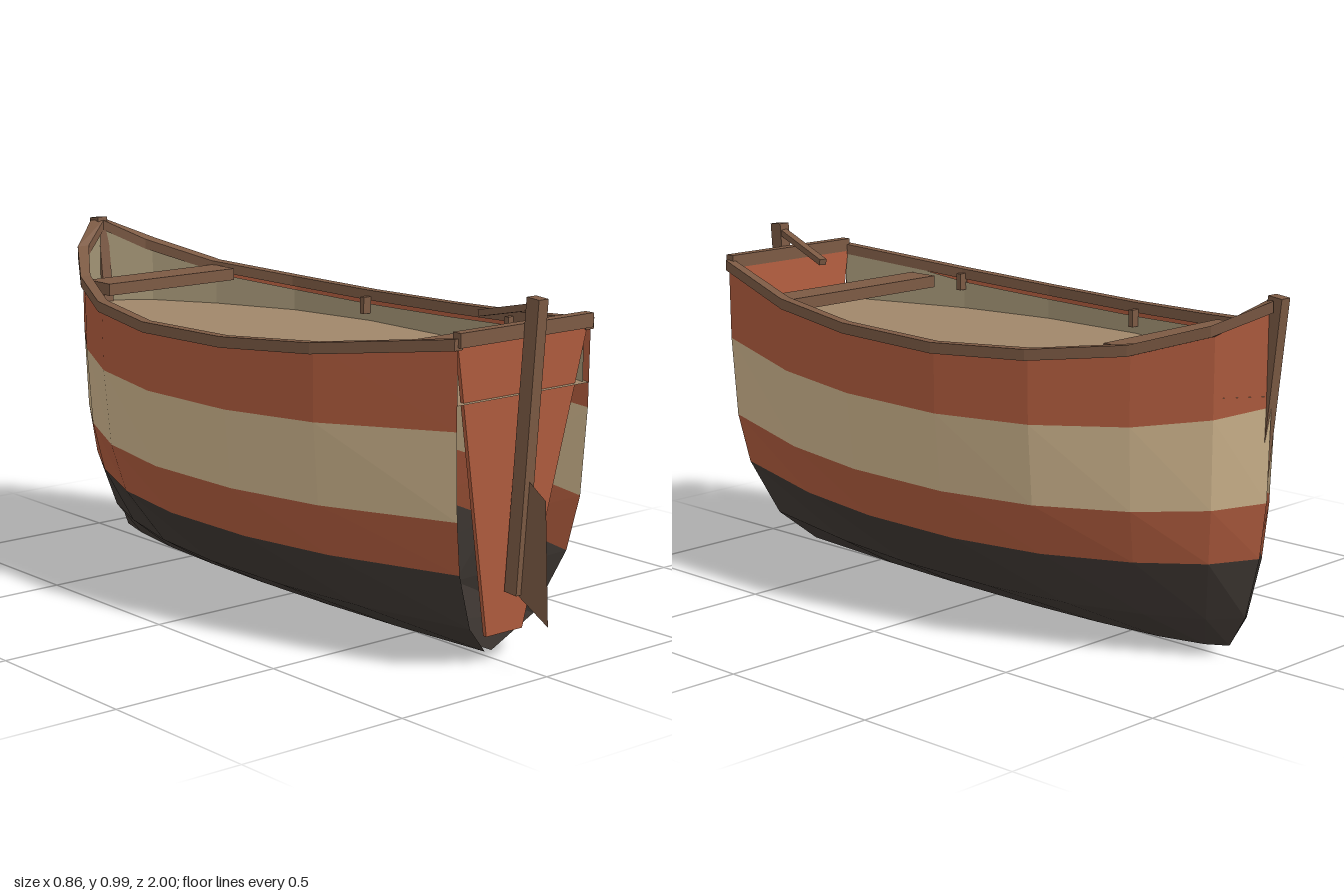
import * as THREE from 'three';

const mat = (name, color, side = THREE.DoubleSide) =>
  new THREE.MeshStandardMaterial({ name, color, side, flatShading: true });

// Stations from stern to bow: z, half width at the sheer, sheer height, rail spread
const stations = [
  [0.90, 0.235, 0.90, 1.0], [0.50, 0.367, 0.85, 1.1], [0.19, 0.418, 0.828, 1],
  [-0.155, 0.418, 0.82, 1], [-0.445, 0.362, 0.833, 1.1], [-0.695, 0.247, 0.862, 1.2],
  [-0.875, 0.130, 0.92, 1.4], [-0.965, 0.006, 0.98, 1.7],
];
// Plank lines from sheer to keel: width ratio, rake ratio, midship height, share of the sheer rise
const lines = [
  [1, 1, 0.815, 1], [0.995, 0.998, 0.625, 0.48], [0.94, 0.99, 0.407, 0.25],
  [0.82, 0.97, 0.265, 0.18], [0.49, 0.925, 0.1, 0.15], [0.05, 0.87, 0.003, 0.2],
];
const FLOOR = 0.73;

// Skins a run of cross-sections that all have the same number of points
function loft(sections) {
  const pos = [];
  for (let i = 0; i < sections.length - 1; i++) {
    for (let j = 0; j < sections[i].length - 1; j++) {
      const a = sections[i][j], b = sections[i][j + 1];
      const c = sections[i + 1][j + 1], d = sections[i + 1][j];
      pos.push(...a, ...b, ...c, ...a, ...c, ...d);
    }
  }
  const g = new THREE.BufferGeometry();
  g.setAttribute('position', new THREE.Float32BufferAttribute(pos, 3));
  g.computeVertexNormals();
  return g;
}

// Both sides of a loft, the -x one with its order reversed
function bothSides(parent, name, sections, material) {
  for (const s of [1, -1]) {
    const secs = sections.map(sec => sec.map(([x, y, z]) => [x * s, y, z]));
    if (s < 0) secs.reverse();
    const m = new THREE.Mesh(loft(secs), material);
    m.name = (s > 0 ? 'left' : 'right') + name;
    parent.add(m);
  }
}

function box(parent, name, size, at, material) {
  const m = new THREE.Mesh(new THREE.BoxGeometry(...size), material);
  m.position.set(...at);
  m.name = name;
  parent.add(m);
  return m;
}

// Square timber running from point a to point b
function beam(parent, name, a, b, width, depth, material) {
  const p = new THREE.Vector3(...a), q = new THREE.Vector3(...b);
  const mid = p.clone().add(q).multiplyScalar(0.5);
  const m = box(parent, name, [width, depth, p.distanceTo(q)], mid.toArray(), material);
  m.lookAt(q);
  return m;
}

export function createModel() {
  const boat = new THREE.Group();
  boat.name = 'rowingBoat';
  const red = mat('redPaint', 0xb05c3e);
  const cream = mat('creamPaint', 0xd0b68e);
  const dark = mat('darkBottom', 0x403934);
  const wood = mat('brownWood', 0x7c5a44);
  const deck = mat('floorBoards', 0xa0876a);
  const inner = mat('innerLining', 0xa59677);

  // Hull planking in colour bands
  const band = (from, to) => stations.map(([z, w, s]) =>
    lines.slice(from, to + 1).map(([kx, kz, y, rise]) => [w * kx, y + rise * (s - 0.82), z * kz]));
  bothSides(boat, 'UpperStrake', band(0, 1), red);
  bothSides(boat, 'CreamStrake', band(1, 2), cream);
  bothSides(boat, 'LowerStrake', band(2, 3), red);
  bothSides(boat, 'Bottom', band(3, 5), dark);

  // Inner lining between floor and rail
  bothSides(boat, 'Lining', stations.map(([z, w, s], i) => {
    const drop = i === 0 || i > 5 ? 0.012 : 0.04;
    return [[w * 0.955, s - drop, z * 0.985], [w * 0.955, FLOOR, z * 0.985]];
  }), inner);

  // Gunwale rails, closed at both ends
  const rail = stations.map(([z, w, s, k]) => {
    const o = w + 0.012 * k, n = Math.max(0, w - 0.017 * k);
    const zo = z < -0.9 ? z - 0.012 : z, zi = z < -0.9 ? z + 0.018 : z;
    return [[o, s, zo], [o, s - 0.03, zo], [n, s - 0.03, zi], [n, s, zi], [o, s, zo]];
  });
  const cap = sec => sec.map(() => [0, 1, 2].map(k => (sec[0][k] + sec[2][k]) / 2));
  bothSides(boat, 'Gunwale', [cap(rail[0]), ...rail, cap(rail[rail.length - 1])], wood);

  // Floor
  const outline = [
    ...stations.map(([z, w]) => new THREE.Vector2(w * 0.99, -z)),
    ...stations.map(([z, w]) => new THREE.Vector2(-w * 0.99, -z)).reverse(),
  ];
  const floor = new THREE.Mesh(new THREE.ShapeGeometry(new THREE.Shape(outline)), deck);
  floor.rotation.x = -Math.PI / 2;
  floor.position.y = FLOOR;
  floor.name = 'floor';
  boat.add(floor);

  // Raked transom with its top rail
  const plate = new THREE.Shape([[-0.065, 0], [0.065, 0], [0.23, 0.8], [-0.23, 0.8]]
    .map(p => new THREE.Vector2(...p)));
  const transom = new THREE.Mesh(
    new THREE.ExtrudeGeometry(plate, { depth: 0.012, bevelEnabled: false }), red);
  transom.position.set(0, 0.085, 0.83);
  transom.rotation.x = 0.065;
  transom.name = 'transom';
  boat.add(transom);
  box(boat, 'transomRail', [0.47, 0.038, 0.03], [0, 0.896, 0.895], wood);

  // Benches
  box(boat, 'bowBench', [0.465, 0.035, 0.105], [0, 0.832, -0.643], wood);
  box(boat, 'sternBench', [0.57, 0.035, 0.1], [0, 0.812, 0.605], wood);

  // Oar brackets under the rails
  for (const s of [1, -1]) {
    box(boat, 'foreOarBracket', [0.028, 0.05, 0.016], [s * 0.387, 0.777, -0.158], wood);
    box(boat, 'aftOarBracket', [0.028, 0.05, 0.016], [s * 0.342, 0.812, 0.495], wood);
  }

  // Stem post, rudder post and tiller
  beam(boat, 'stemPost', [0, 0.3, -0.895], [0, 0.988, -0.974], 0.034, 0.044, wood);
  beam(boat, 'rudderPost', [0, 0.2, 0.878], [0, 0.982, 0.938], 0.034, 0.044, wood);
  beam(boat, 'tiller', [0, 0.958, 0.925], [0.07, 0.9, 0.665], 0.022, 0.018, wood);

  // Thin rudder blade, drawn in the z-y plane
  const bladeShape = new THREE.Shape([[-0.88, 0.2], [-1.0, 0.135], [-0.983, 0.465], [-0.915, 0.51]]
    .map(p => new THREE.Vector2(...p)));
  const blade = new THREE.Mesh(new THREE.ShapeGeometry(bladeShape), wood);
  blade.rotation.y = Math.PI / 2;
  blade.name = 'rudderBlade';
  boat.add(blade);

  return boat;
}
